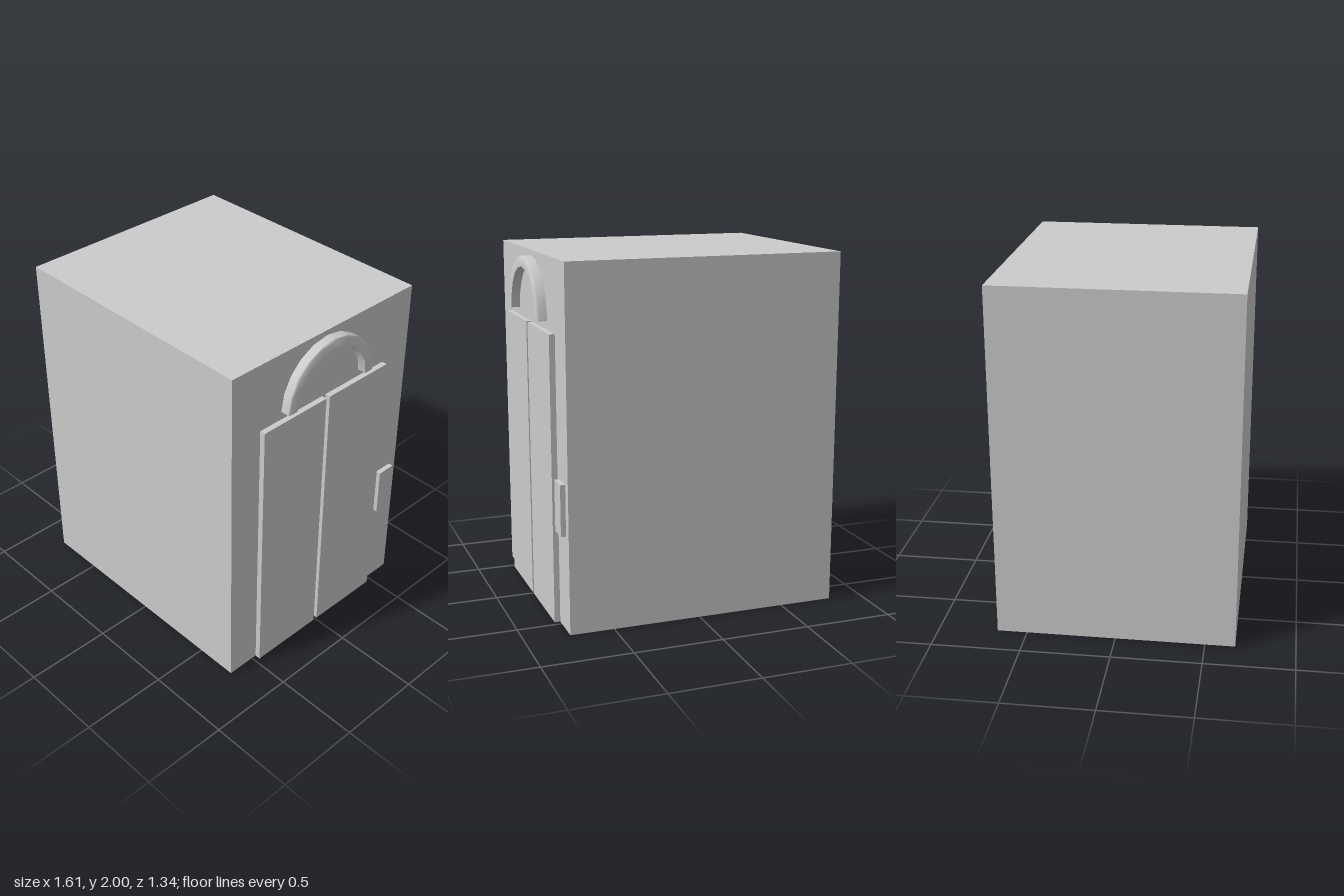
import * as THREE from 'three';
import { toCreasedNormals } from 'three/addons/utils/BufferGeometryUtils.js';

const WALL = 0.748; // x of the wall that carries the doors

export function createModel() {
  const model = new THREE.Group();
  model.name = 'elevator';
  const material = new THREE.MeshStandardMaterial({ color: 0xcccccc });
  const thin = new THREE.MeshStandardMaterial({ color: 0xcccccc, side: THREE.DoubleSide });

  // Box given by its minimum and maximum corners
  function box(name, [x0, y0, z0], [x1, y1, z1]) {
    const mesh = new THREE.Mesh(new THREE.BoxGeometry(x1 - x0, y1 - y0, z1 - z0), material);
    mesh.position.set((x0 + x1) / 2, (y0 + y1) / 2, (z0 + z1) / 2);
    mesh.name = name;
    model.add(mesh);
  }

  // Cabin, the two sliding doors and the call-button plate
  box('cabin', [-0.807, 0, -0.668], [WALL, 2, 0.668]);
  box('leftDoor', [WALL, 0, 0.014], [0.78, 1.603, 0.47]);
  box('rightDoor', [WALL, 0, -0.468], [0.78, 1.603, -0.012]);
  box('buttonPlate', [WALL, 0.54, -0.617], [0.776, 0.826, -0.505]);

  // Half-round floor indicator above the doors, turned about the x axis
  const indicator = new THREE.Group();
  indicator.name = 'floorIndicator';
  indicator.position.set(WALL, 1.65, 0);
  indicator.rotation.z = -Math.PI / 2;
  model.add(indicator);

  // Rim cross-section: radius, distance from the wall
  const profile = [[0.32, 0], [0.32, 0.046], [0.318, 0.052], [0.312, 0.056], [0.26, 0.056], [0.26, 0]]
    .map(([r, d]) => new THREE.Vector2(r, d));
  const rim = new THREE.Mesh(
    toCreasedNormals(new THREE.LatheGeometry(profile, 10, Math.PI, Math.PI), 0.7), thin);
  rim.name = 'indicatorRim';
  indicator.add(rim);

  // Flat ends of the rim
  for (const side of [-1, 1]) {
    const end = new THREE.Mesh(new THREE.ShapeGeometry(new THREE.Shape(profile)), thin);
    end.rotation.y = -side * Math.PI / 2;
    end.name = side > 0 ? 'leftRimEnd' : 'rightRimEnd';
    indicator.add(end);
  }

  // Thin dial inside the rim
  const dialProfile = [[0.262, 0], [0.262, 0.006], [0, 0.006]].map(([r, d]) => new THREE.Vector2(r, d));
  const dial = new THREE.Mesh(
    toCreasedNormals(new THREE.LatheGeometry(dialProfile, 10, Math.PI, Math.PI), 0.7), thin);
  dial.name = 'indicatorDial';
  indicator.add(dial);

  return model;
}
